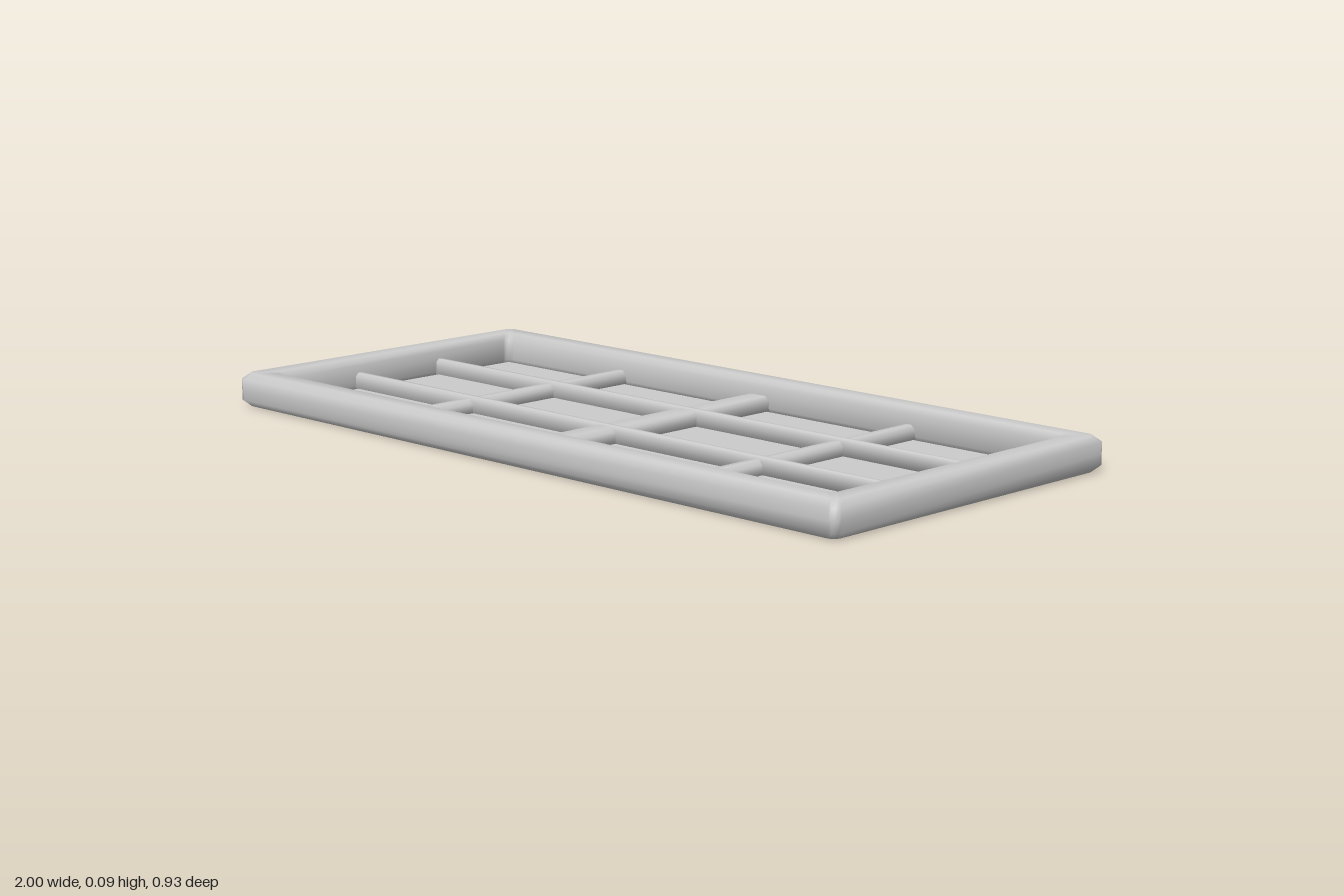
import * as THREE from 'three';
import { mergeVertices } from 'three/addons/utils/BufferGeometryUtils.js';

const material = new THREE.MeshStandardMaterial({ color: 0xcccccc, side: THREE.DoubleSide });

function add(parent, name, geometry, x = 0, y = 0, z = 0) {
  const mesh = new THREE.Mesh(geometry, material);
  mesh.name = name;
  mesh.position.set(x, y, z);
  parent.add(mesh);
  return mesh;
}

// Chamfered rectangle swept around a rounded rectangle, smooth shaded
function frameGeometry(halfX, halfZ, width, height, chamfer, radius) {
  const c = chamfer, w = width, h = height;
  const profile = [[c, 0], [0, c], [0, h / 2], [0, h - c], [c, h], [w - c, h], [w, h - c], [w, c], [w - c, 0]];
  const corners = [[1, 1], [-1, 1], [-1, -1], [1, -1]];
  const steps = 4, around = corners.length * (steps + 1), n = profile.length;
  const positions = [], index = [];
  corners.forEach(([sx, sz], k) => {
    for (let s = 0; s <= steps; s++) {
      const a = (k + s / steps) * Math.PI / 2;
      for (const [d, y] of profile) {
        positions.push(
          sx * (halfX - d - radius) + radius * Math.cos(a), y,
          sz * (halfZ - d - radius) + radius * Math.sin(a));
      }
    }
  });
  for (let i = 0; i < around; i++) {
    for (let j = 0; j < n; j++) {
      const i2 = (i + 1) % around, j2 = (j + 1) % n;
      const a = i * n + j, b = i2 * n + j, d = i * n + j2, e = i2 * n + j2;
      index.push(a, d, b, b, d, e);
    }
  }
  const g = new THREE.BufferGeometry();
  g.setAttribute('position', new THREE.Float32BufferAttribute(positions, 3));
  g.setIndex(index);
  g.computeVertexNormals();
  return g;
}

// Bar along z with a chamfered top, smooth shaded
function barGeometry(width, height, length) {
  const w = width / 2, c = Math.min(0.012, width * 0.3);
  const shape = new THREE.Shape([
    [-w, 0], [w, 0], [w, height - c], [w - c, height], [-w + c, height], [-w, height - c],
  ].map(([x, y]) => new THREE.Vector2(x, y)));
  let g = new THREE.ExtrudeGeometry(shape, { depth: length, bevelEnabled: false });
  g.translate(0, 0, -length / 2);
  g.deleteAttribute('normal');
  g.deleteAttribute('uv');
  g = mergeVertices(g);
  g.computeVertexNormals();
  return g;
}

export function createModel() {
  const group = new THREE.Group();
  const inX = 0.925, inZ = 0.39, floor = 0.01;

  add(group, 'frame', frameGeometry(1, 0.465, 0.077, 0.085, 0.016, 0.02));

  // Two long bars running the full width
  const longZ = [-0.142, 0.133];
  for (const z of longZ) {
    add(group, 'longBar', barGeometry(0.028, 0.04, inX * 2), 0, floor, z).rotation.y = Math.PI / 2;
  }

  // Three cross bars, the middle one wider
  const crossBars = [[-0.49, 0.04, 0.034], [-0.002, 0.072, 0.037], [0.485, 0.04, 0.034]];
  for (const [x, width, height] of crossBars) {
    add(group, 'crossBar', barGeometry(width, height, inZ * 2), x, floor, 0);
  }

  // Thin panes between the bar centre lines
  const xs = [-inX, ...crossBars.map((b) => b[0]), inX];
  const zs = [-inZ, ...longZ, inZ];
  const gap = 0.004;
  for (let i = 0; i < xs.length - 1; i++) {
    for (let j = 0; j < zs.length - 1; j++) {
      const g = new THREE.PlaneGeometry(xs[i + 1] - xs[i] - gap, zs[j + 1] - zs[j] - gap);
      g.rotateX(-Math.PI / 2);
      add(group, 'pane', g, (xs[i] + xs[i + 1]) / 2, floor - 0.002, (zs[j] + zs[j + 1]) / 2);
    }
  }
  return group;
}
